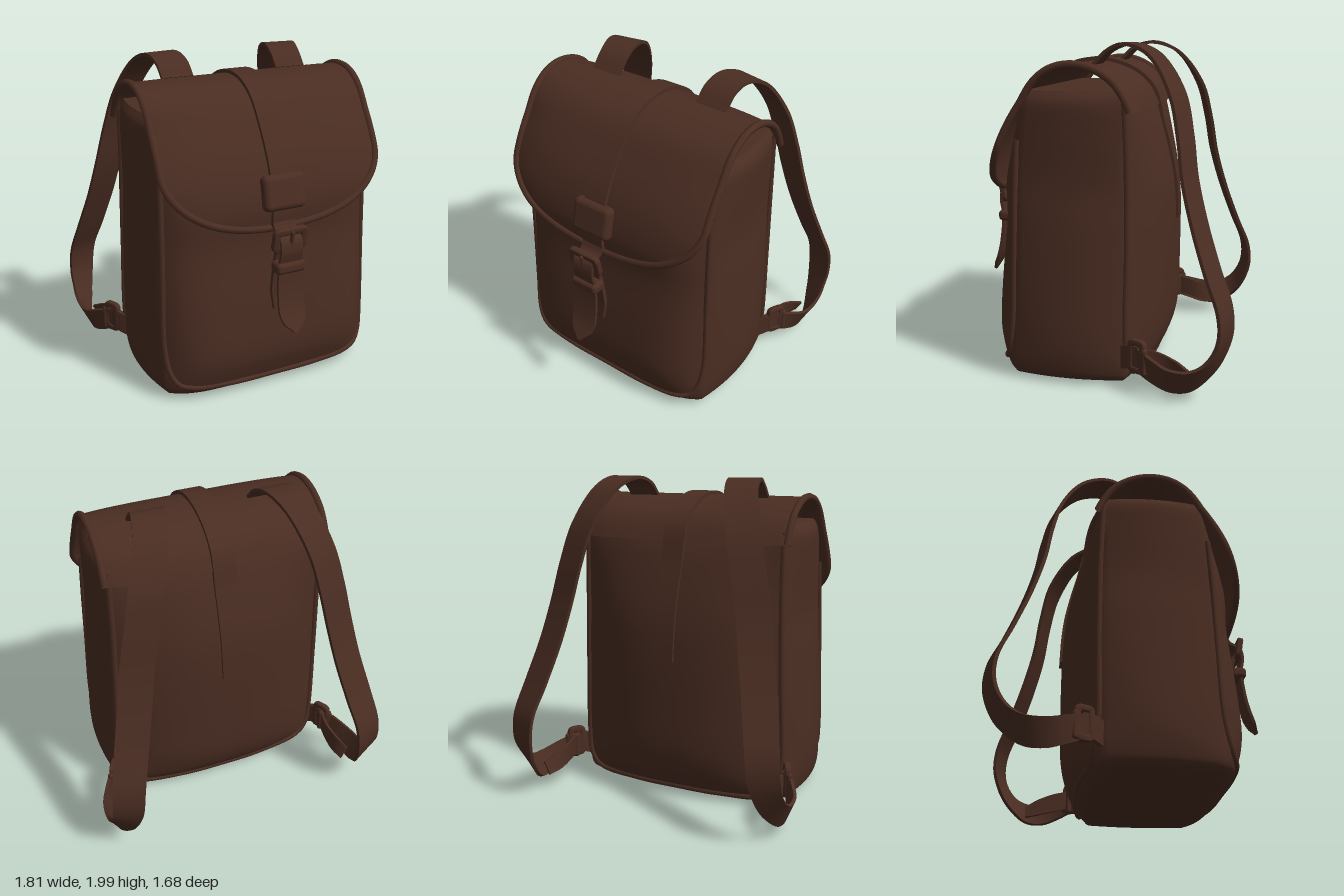
import * as THREE from 'three';
import { toCreasedNormals } from 'three/addons/utils/BufferGeometryUtils.js';
import { RoundedBoxGeometry } from 'three/addons/geometries/RoundedBoxGeometry.js';

const V = (x, y, z) => new THREE.Vector3(x, y, z);
const leather = new THREE.MeshStandardMaterial({ color: 0x4a2d22, side: THREE.DoubleSide });
leather.name = 'brown leather';

function add(parent, name, geometry, x = 0, y = 0, z = 0, rx = 0, ry = 0) {
  const mesh = new THREE.Mesh(geometry, leather);
  mesh.name = name;
  mesh.position.set(x, y, z);
  mesh.rotation.set(rx, ry, 0);
  parent.add(mesh);
  return mesh;
}

// Skin a list of rings; closed rings also get end caps
function loft(rings, closed = true, crease = 0.9) {
  const pos = [], idx = [], n = rings[0].length, m = closed ? n : n - 1;
  rings.forEach(r => r.forEach(p => pos.push(p.x, p.y, p.z)));
  for (let i = 0; i < rings.length - 1; i++) for (let j = 0; j < m; j++) {
    const a = i * n + j, b = i * n + (j + 1) % n;
    idx.push(a, b, b + n, a, b + n, a + n);
  }
  if (closed) [0, rings.length - 1].forEach((row, end) => {
    const c = rings[row].reduce((s, p) => s.add(p), V(0, 0, 0)).divideScalar(n);
    const k = pos.length / 3;
    pos.push(c.x, c.y, c.z);
    for (let j = 0; j < n; j++) {
      const a = row * n + j, b = row * n + (j + 1) % n;
      end ? idx.push(k, a, b) : idx.push(k, b, a);
    }
  });
  const g = new THREE.BufferGeometry();
  g.setAttribute('position', new THREE.Float32BufferAttribute(pos, 3));
  g.setIndex(idx);
  return toCreasedNormals(g, crease);
}

// Flat strap: each point is a centre followed by its half-width vector
function ribbon(points, thick = 0.02, segs = 72) {
  const path = new THREE.CatmullRomCurve3(points.map(p => V(p[0], p[1], p[2])), false, 'centripetal');
  const wide = new THREE.CatmullRomCurve3(points.map(p => V(p[3], p[4] || 0, p[5] || 0)), false, 'catmullrom', 0.3);
  const rings = [];
  for (let i = 0; i <= segs; i++) {
    const c = path.getPoint(i / segs), w = wide.getPoint(i / segs);
    const n = path.getTangent(i / segs).cross(w).normalize().multiplyScalar(thick / 2);
    rings.push([[1, 1], [-1, 1], [-1, -1], [1, -1]].map(([a, b]) => c.clone().addScaledVector(w, a).addScaledVector(n, b)));
  }
  return loft(rings);
}

const tube = (points, r, segs = 120) =>
  new THREE.TubeGeometry(new THREE.CatmullRomCurve3(points, false, 'centripetal'), segs, r, 8);

function roundRect(target, w, h, r) {
  const x = w / 2, y = h / 2;
  target.moveTo(-x + r, -y).lineTo(x - r, -y).quadraticCurveTo(x, -y, x, -y + r)
    .lineTo(x, y - r).quadraticCurveTo(x, y, x - r, y).lineTo(-x + r, y)
    .quadraticCurveTo(-x, y, -x, y - r).lineTo(-x, -y + r).quadraticCurveTo(-x, -y, -x + r, -y);
  return target;
}

function buckleFrame(w, h, bar) {
  const shape = roundRect(new THREE.Shape(), w, h, 0.035);
  shape.holes.push(roundRect(new THREE.Path(), w - 2 * bar, h - 2 * bar, 0.015));
  const g = new THREE.ExtrudeGeometry(shape, { depth: 0.02, bevelSize: 0.006, bevelThickness: 0.008, bevelSegments: 3 });
  g.translate(0, 0, -0.01);
  return toCreasedNormals(g, 0.8);
}

// Body levels: y, half width, back corner z, front corner z, back, front and side bulge
const levels = [
  [0.01, 0.56, -0.14, 0.41, 0.02, 0.04, 0.02],
  [0.04, 0.66, -0.20, 0.45, 0.07, 0.09, 0.04],
  [0.12, 0.69, -0.22, 0.46, 0.13, 0.13, 0.05],
  [0.30, 0.69, -0.22, 0.46, 0.18, 0.17, 0.07],
  [0.60, 0.69, -0.22, 0.45, 0.19, 0.16, 0.06],
  [0.95, 0.68, -0.22, 0.44, 0.19, 0.13, 0.05],
  [1.20, 0.67, -0.22, 0.44, 0.17, 0.13, 0.04],
  [1.50, 0.67, -0.22, 0.42, 0.10, 0.07, 0.05],
  [1.66, 0.67, -0.21, 0.39, 0.05, 0.04, 0.05],
  [1.73, 0.65, -0.19, 0.36, 0.02, 0.02, 0.03],
];
const columns = levels[0].map((_, k) => new THREE.SplineCurve(levels.map((r, i) => new THREE.Vector2(r[k], i))));
const levelAt = t => columns.map(c => c.getPoint(t).x);
function levelAtHeight(y) {
  let lo = 0, hi = 1;
  for (let i = 0; i < 24; i++) {
    const mid = (lo + hi) / 2;
    if (columns[0].getPoint(mid).x < y) lo = mid; else hi = mid;
  }
  return levelAt(lo);
}
const frontZ = (l, s) => l[3] + l[5] * (1 - Math.min(1, Math.abs(s)) ** 6);
const backZ = (l, s) => l[2] - l[4] * (1 - Math.min(1, Math.abs(s)) ** 2.6);

function bodyRing(l) {
  const [y, hw, zb, zf, , , side] = l, ring = [];
  for (let i = 0; i < 32; i++) {
    const s = -Math.cos(Math.PI * i / 32);
    ring.push(V(hw * s, y, frontZ(l, s)));
  }
  const sidePoint = (sx, t) => V(sx * (hw + side * (1 - (2 * t - 1) ** 2)), y, zf + (zb - zf) * t);
  for (let i = 0; i < 12; i++) ring.push(sidePoint(1, i / 12));
  for (let i = 0; i < 32; i++) {
    const s = Math.cos(Math.PI * i / 32);
    ring.push(V(hw * s, y, backZ(l, s)));
  }
  for (let i = 0; i < 12; i++) ring.push(sidePoint(-1, 1 - i / 12));
  return ring;
}

// Flap: side profile (z, y) from back to front, with a curved front edge
const profile = new THREE.SplineCurve([
  [-0.3, 1.62], [-0.25, 1.72], [-0.17, 1.8], [-0.04, 1.86], [0.1, 1.88], [0.24, 1.855], [0.36, 1.78],
  [0.46, 1.65], [0.55, 1.5], [0.61, 1.35], [0.637, 1.2], [0.63, 1.08],
].map(p => new THREE.Vector2(...p)));
const profileLength = profile.getLength();
function flapPoint(s, v) {
  const rise = 0.36 * (1 - Math.sqrt(Math.max(0, 1 - Math.abs(s) ** 2.2)));
  const p = profile.getPointAt(v * (1 - rise * 1.04 / profileLength));
  const pull = 0.06 * s ** 4 * THREE.MathUtils.clamp((p.x - 0.1) / 0.35, -1, 1);
  return V(0.7 * s, p.y, p.x - pull);
}

export function createModel() {
  const bag = new THREE.Group();
  bag.name = 'backpack';

  add(bag, 'body', loft(Array.from({ length: 73 }, (_, i) => bodyRing(levelAt(i / 72)))));

  // Piping round the front and back panels
  const piping = (name, half, zAt, r) => {
    const pts = [...half, ...half.slice(0, -1).reverse().map(([x, y]) => [-x, y])];
    add(bag, name, tube(pts.map(([x, y]) => {
      const l = levelAtHeight(y);
      return V(x, y, zAt(l, x / l[1]));
    }), r));
  };
  piping('frontPiping', [[0.67, 1.45], [0.675, 1.15], [0.68, 0.8], [0.685, 0.35], [0.665, 0.2], [0.62, 0.125], [0.54, 0.1], [0.3, 0.085], [0, 0.08]], frontZ, 0.018);
  piping('backPiping', [[0.67, 1.69], [0.67, 1.3], [0.68, 0.8], [0.69, 0.3], [0.67, 0.16], [0.6, 0.08], [0.3, 0.06], [0, 0.06]], backZ, 0.02);

  // Flap sheet and its bound edge
  const across = Array.from({ length: 41 }, (_, i) => -Math.cos(Math.PI * i / 40));
  const along = Array.from({ length: 49 }, (_, i) => i / 48);
  add(bag, 'flap', loft(along.map(v => across.map(s => flapPoint(s, v)).reverse()), false, 1.2));
  const edge = [...along.map(v => flapPoint(-1, v)), ...across.slice(1, -1).map(s => flapPoint(s, 1)), ...along.map(v => flapPoint(1, v)).reverse()];
  add(bag, 'flapBinding', tube(edge, 0.022, 240));

  // Centre strap, up the back and over the flap
  const centre = [0.9, 1.05, 1.2, 1.35, 1.5].map((y, i) => [0, y, backZ(levelAtHeight(y), 0) - 0.006, 0.05 + i * 0.005]);
  for (let i = 1; i <= 20; i++) {
    const p = profile.getPointAt(i / 20), t = profile.getTangentAt(i / 20);
    centre.push([0, p.y + t.x * 0.012, p.x - t.y * 0.012, 0.073]);
  }
  add(bag, 'centreStrap', ribbon(centre, 0.022, 110));

  // Front closure
  add(bag, 'closurePad', new RoundedBoxGeometry(0.27, 0.21, 0.08, 4, 0.035), 0, 1.295, 0.635, -0.22);
  add(bag, 'buckleFrame', buckleFrame(0.21, 0.14, 0.03), 0, 1.035, 0.725, 0.2);
  add(bag, 'bucklePin', new THREE.CapsuleGeometry(0.012, 0.09, 4, 10), 0, 1.04, 0.75, 0.2);
  add(bag, 'strapKeeper', new RoundedBoxGeometry(0.19, 0.07, 0.1, 4, 0.025), 0, 0.865, 0.715);
  add(bag, 'closureTail', ribbon([
    [0, 1.14, 0.64, 0.07], [0, 1.08, 0.67, 0.07], [0, 1.04, 0.735, 0.07], [0, 0.97, 0.75, 0.07], [0, 0.88, 0.735, 0.075],
    [0, 0.72, 0.745, 0.083], [0, 0.6, 0.77, 0.085], [0, 0.54, 0.795, 0.07], [0, 0.48, 0.825, 0.012]], 0.018));
  add(bag, 'closureUnderStrap', ribbon([
    [0, 1.03, 0.73, 0.07], [0, 0.96, 0.69, 0.07], [0, 0.85, 0.665, 0.07], [0, 0.7, 0.65, 0.075], [0, 0.57, 0.655, 0.06]], 0.025));

  // Shoulder straps with their lower buckles
  for (const [side, sx] of [['left', 1], ['right', -1]]) {
    const group = new THREE.Group();
    group.name = side + 'ShoulderStrap';
    bag.add(group);
    const strap = pts => pts.map(([x, y, z, wx, wy, wz]) => [sx * x, y, z, sx * wx, wy, wz]);
    add(group, 'strap', ribbon(strap([
      [0.38, 1.87, 0.02, 0.1, 0, 0], [0.385, 1.95, -0.06, 0.1, 0, 0], [0.405, 1.987, -0.17, 0.1, 0, 0.01],
      [0.45, 1.93, -0.33, 0.095, 0, 0.02], [0.53, 1.72, -0.475, 0.095, 0, 0.03], [0.59, 1.48, -0.535, 0.095, 0, 0.03],
      [0.64, 1.25, -0.57, 0.095, 0, 0.03], [0.69, 1.0, -0.635, 0.095, 0, 0.03], [0.75, 0.75, -0.72, 0.095, 0, 0.03],
      [0.795, 0.55, -0.795, 0.09, 0, 0.03], [0.81, 0.4, -0.8, 0.085, 0.01, 0.03], [0.83, 0.25, -0.735, 0.065, 0.04, 0.02],
      [0.855, 0.155, -0.62, 0.04, 0.07, 0], [0.85, 0.145, -0.5, 0.03, 0.075, 0], [0.81, 0.18, -0.39, 0.015, 0.075, 0],
      [0.75, 0.22, -0.29, 0, 0.07, 0]]), 0.02, 110));
    add(group, 'looseEnd', ribbon(strap([
      [0.75, 0.23, -0.3, 0, 0.06, 0], [0.735, 0.2, -0.42, 0, 0.06, 0], [0.745, 0.17, -0.52, 0.01, 0.055, 0],
      [0.775, 0.14, -0.61, 0.02, 0.04, 0]]), 0.016, 30));
    add(group, 'anchorTab', ribbon(strap([
      [0.69, 0.2, -0.2, 0, 0.07, 0], [0.73, 0.22, -0.25, 0, 0.07, 0], [0.755, 0.23, -0.31, 0, 0.065, 0]]), 0.03, 16));
    add(group, 'lowerBuckle', buckleFrame(0.11, 0.19, 0.025), sx * 0.755, 0.235, -0.3, 0, sx * 1.1);
    add(group, 'lowerKeeper', new RoundedBoxGeometry(0.09, 0.16, 0.035, 3, 0.016), sx * 0.765, 0.215, -0.335, 0, sx * 0.5);
  }
  return bag;
}
